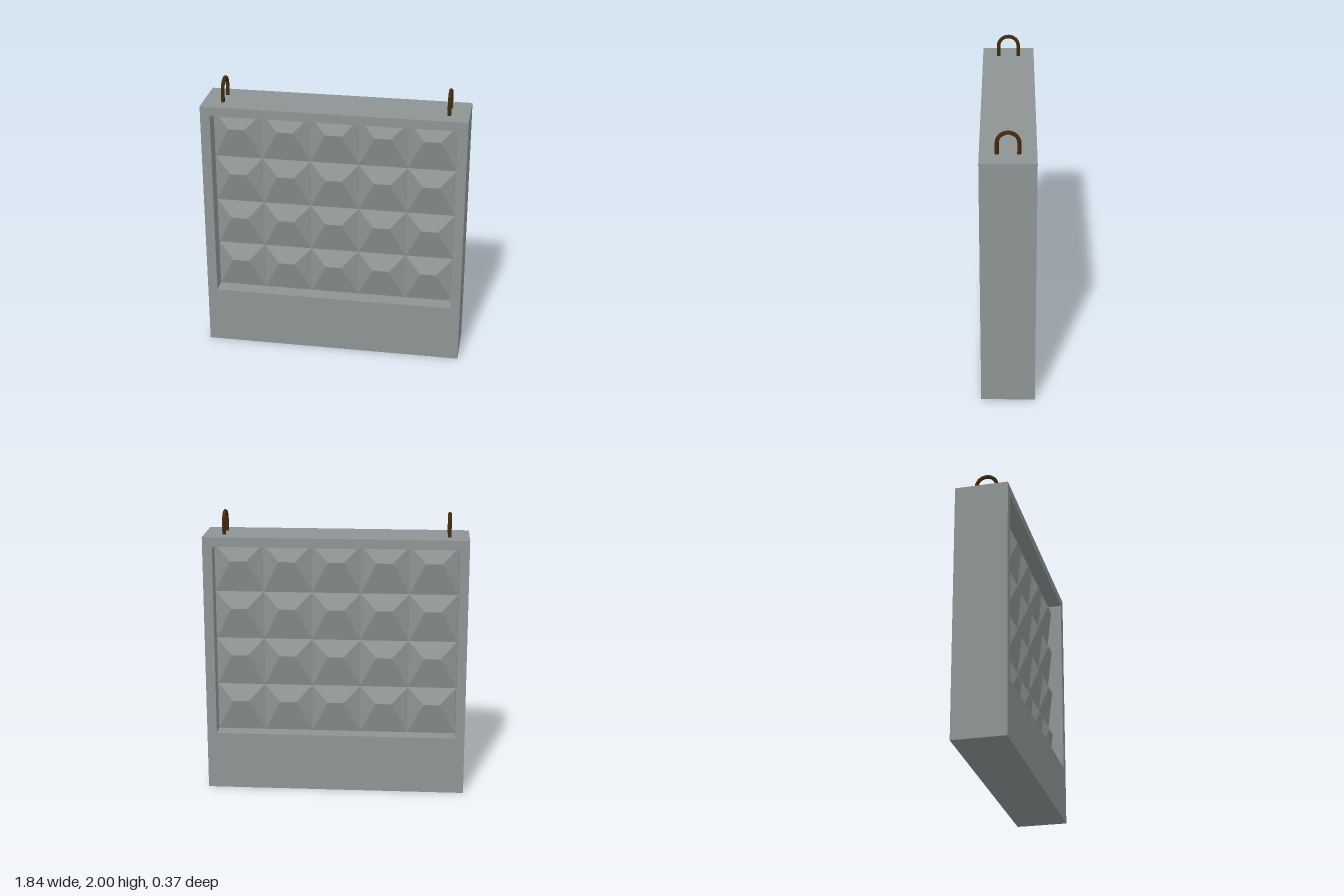
import * as THREE from 'three';

const W = 1.836, H = 1.838, D = 0.37;           // slab size
const COLS = 5, ROWS = 4, CELL = 0.34;          // relief grid
const X0 = -0.85, Y0 = 0.412;                   // recess lower corner
const BASE_Z = 0.073, RISE = 0.056;             // recess floor and stud height

// One face of the slab: a grid of studs, each with a short raised ridge near its top
function reliefGeometry() {
  const pos = [];
  const tri = (...pts) => pts.forEach((p) => pos.push(...p));
  const quad = (a, b, c, d) => { tri(a, b, c); tri(a, c, d); };
  for (let r = 0; r < ROWS; r++) {
    for (let c = 0; c < COLS; c++) {
      const x = X0 + c * CELL, y = Y0 + r * CELL;
      const p = (u, v, h) => [x + u * CELL, y + v * CELL, BASE_Z + h];
      const bl = p(0, 0, 0), br = p(1, 0, 0), tr = p(1, 1, 0), tl = p(0, 1, 0);
      const rl = p(0.333, 0.667, RISE), rr = p(0.667, 0.667, RISE);
      quad(bl, br, rr, rl);
      quad(rl, rr, tr, tl);
      tri(bl, rl, tl);
      tri(br, tr, rr);
    }
  }
  const g = new THREE.BufferGeometry();
  g.setAttribute('position', new THREE.Float32BufferAttribute(pos, 3));
  g.computeVertexNormals();
  return g;
}

function rect(target, x0, y0, x1, y1) {
  target.moveTo(x0, y0);
  target.lineTo(x1, y0);
  target.lineTo(x1, y1);
  target.lineTo(x0, y1);
  target.closePath();
  return target;
}

export function createModel() {
  const concrete = new THREE.MeshStandardMaterial({ color: 0x8e9494 });
  concrete.name = 'concrete';
  const rust = new THREE.MeshStandardMaterial({ color: 0x432a0c });
  rust.name = 'rusty steel';

  const model = new THREE.Group();
  model.name = 'concreteFencePanel';
  const add = (name, geometry, material) => {
    const mesh = new THREE.Mesh(geometry, material);
    mesh.name = name;
    model.add(mesh);
    return mesh;
  };

  // Slab frame with a window that the relief fills from both sides
  const outline = rect(new THREE.Shape(), -W / 2, 0, W / 2, H);
  outline.holes.push(rect(new THREE.Path(), X0, Y0, X0 + COLS * CELL, Y0 + ROWS * CELL));
  const frame = new THREE.ExtrudeGeometry(outline, { depth: D, bevelEnabled: false });
  frame.translate(0, 0, -D / 2);
  add('frame', frame, concrete);

  // Studded relief, front and back
  const relief = reliefGeometry();
  add('frontRelief', relief, concrete);
  add('backRelief', relief, concrete).rotation.y = Math.PI;

  // Lifting loops: two straight legs joined by a half circle
  const R = 0.071, T = 0.013, top = 2 - R - T;
  const v = (y, z) => new THREE.Vector3(0, y, z);
  const path = new THREE.CurvePath();
  const arc = [];
  for (let i = 0; i <= 12; i++) {
    const a = (i / 12) * Math.PI;
    arc.push(v(top + R * Math.sin(a), R * Math.cos(a)));
  }
  path.add(new THREE.LineCurve3(v(H - 0.02, R), arc[0]));
  path.add(new THREE.CatmullRomCurve3(arc));
  path.add(new THREE.LineCurve3(arc[12], v(H - 0.02, -R)));
  const loop = new THREE.TubeGeometry(path, 40, T, 12, false);
  for (const side of [-1, 1]) {
    add(side > 0 ? 'leftLiftingLoop' : 'rightLiftingLoop', loop, rust).position.x = side * 0.78;
  }

  return model;
}
